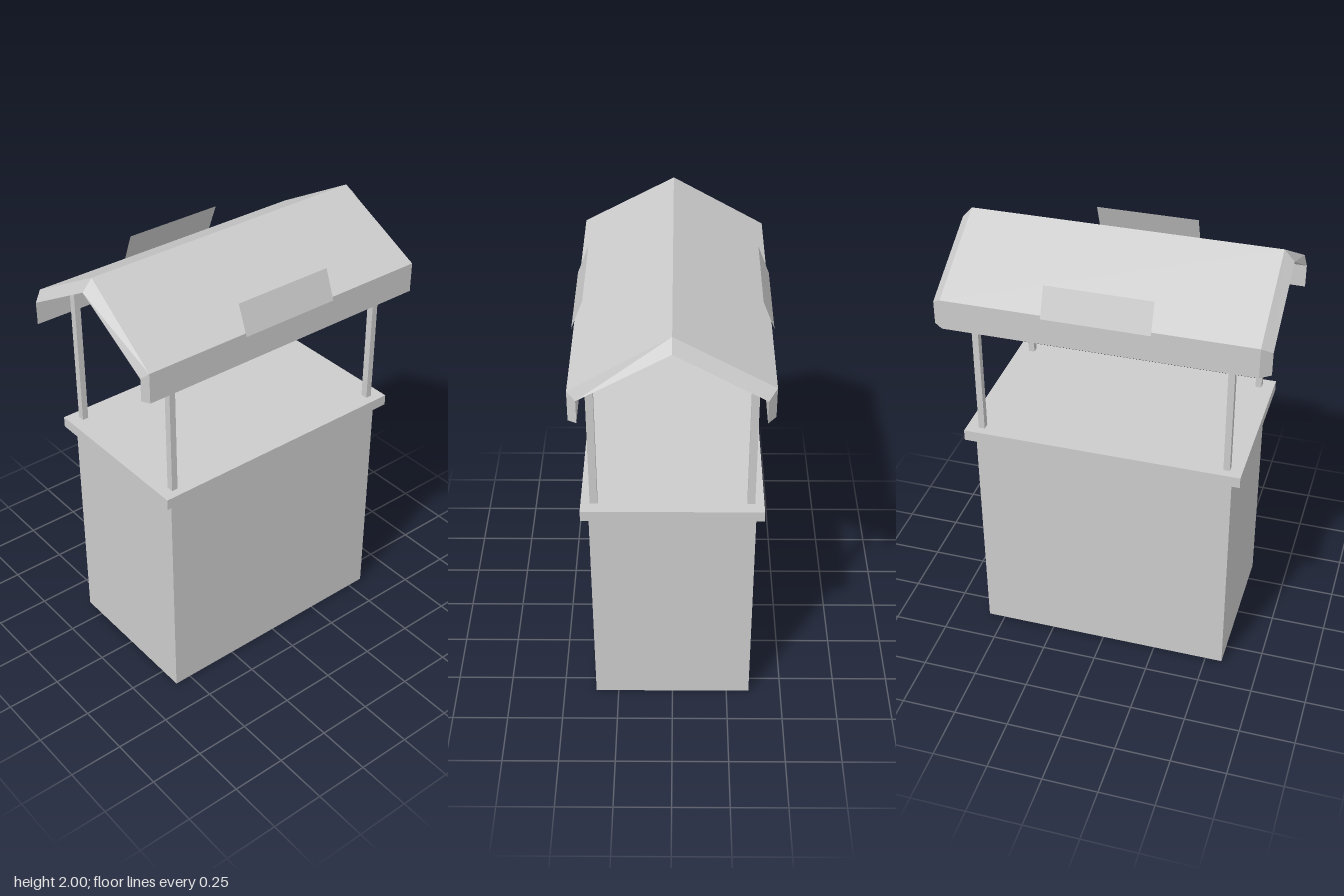
import * as THREE from 'three';

const mat = new THREE.MeshStandardMaterial({ color: 0xcccccc, flatShading: true, side: THREE.DoubleSide });

function add(parent, name, geometry, x = 0, y = 0, z = 0) {
  const mesh = new THREE.Mesh(geometry, mat);
  mesh.name = name;
  mesh.position.set(x, y, z);
  parent.add(mesh);
  return mesh;
}

// Box standing on y = 0, with chosen faces left out (0 +x, 1 -x, 2 +y, 3 -y, 4 +z, 5 -z)
function openBox(w, h, d, omit) {
  const g = new THREE.BoxGeometry(w, h, d).translate(0, h / 2, 0);
  const index = [...g.index.array];
  g.setIndex(index.filter((_, i) => !omit.includes(Math.floor(i / 6))));
  return g;
}

// Gabled shell with hanging eaves; its ends are mitred so the inside is longer than the outside
function roofGeometry() {
  // x, y, half length
  const outer = [[0.405, 1.635, 0.7], [0.405, 1.77, 0.7], [0, 2, 0.673], [-0.405, 1.77, 0.673], [-0.405, 1.635, 0.673]];
  const inner = [[0.37, 1.635, 0.718], [0.37, 1.738, 0.718], [0, 1.95, 0.718], [-0.37, 1.738, 0.718], [-0.37, 1.635, 0.718]];
  const loop = [...outer, ...inner.slice().reverse()];
  const pos = [];
  const front = ([x, y, z]) => [x, y, z];
  const back = ([x, y, z]) => [x, y, -z];
  const quad = (a, b, c, d) => pos.push(...a, ...b, ...c, ...a, ...c, ...d);
  loop.forEach((a, i) => {
    const b = loop[(i + 1) % loop.length];
    quad(front(a), back(a), back(b), front(b));
  });
  for (let i = 0; i < outer.length - 1; i++) {
    const ring = [outer[i], outer[i + 1], inner[i + 1], inner[i]];
    quad(...ring.map(front));
    quad(...ring.reverse().map(back));
  }
  const g = new THREE.BufferGeometry();
  g.setAttribute('position', new THREE.Float32BufferAttribute(pos, 3));
  g.computeVertexNormals();
  return g;
}

export function createModel() {
  const model = new THREE.Group();
  model.name = 'marketStand';

  // Hollow cabinet and the counter capping it
  add(model, 'cabinet', openBox(0.706, 1.06, 1.156, [2, 3]));
  add(model, 'counter', openBox(0.77, 0.05, 1.24, [3]), 0, 1.06, 0);

  // Four posts carrying the roof
  for (const x of [-0.33, 0.33]) {
    for (const z of [-0.552, 0.552]) {
      add(model, 'post', openBox(0.032, 0.66, 0.028, []), x, 1.105, z);
    }
  }

  add(model, 'roof', roofGeometry());

  // Flat side panel and leaning sign board on each long side
  for (const side of [1, -1]) {
    const panel = add(model, 'sidePanel', new THREE.PlaneGeometry(0.78, 0.45), side * 0.355, 0.725, 0);
    panel.rotation.y = side * Math.PI / 2;

    const board = new THREE.PlaneGeometry(0.464, Math.hypot(0.05, 0.13));
    board.rotateX(-Math.atan2(0.05, 0.13)).rotateY(side * Math.PI / 2);
    add(model, 'signBoard', board, side * 0.391, 1.825, 0);
  }
  return model;
}
